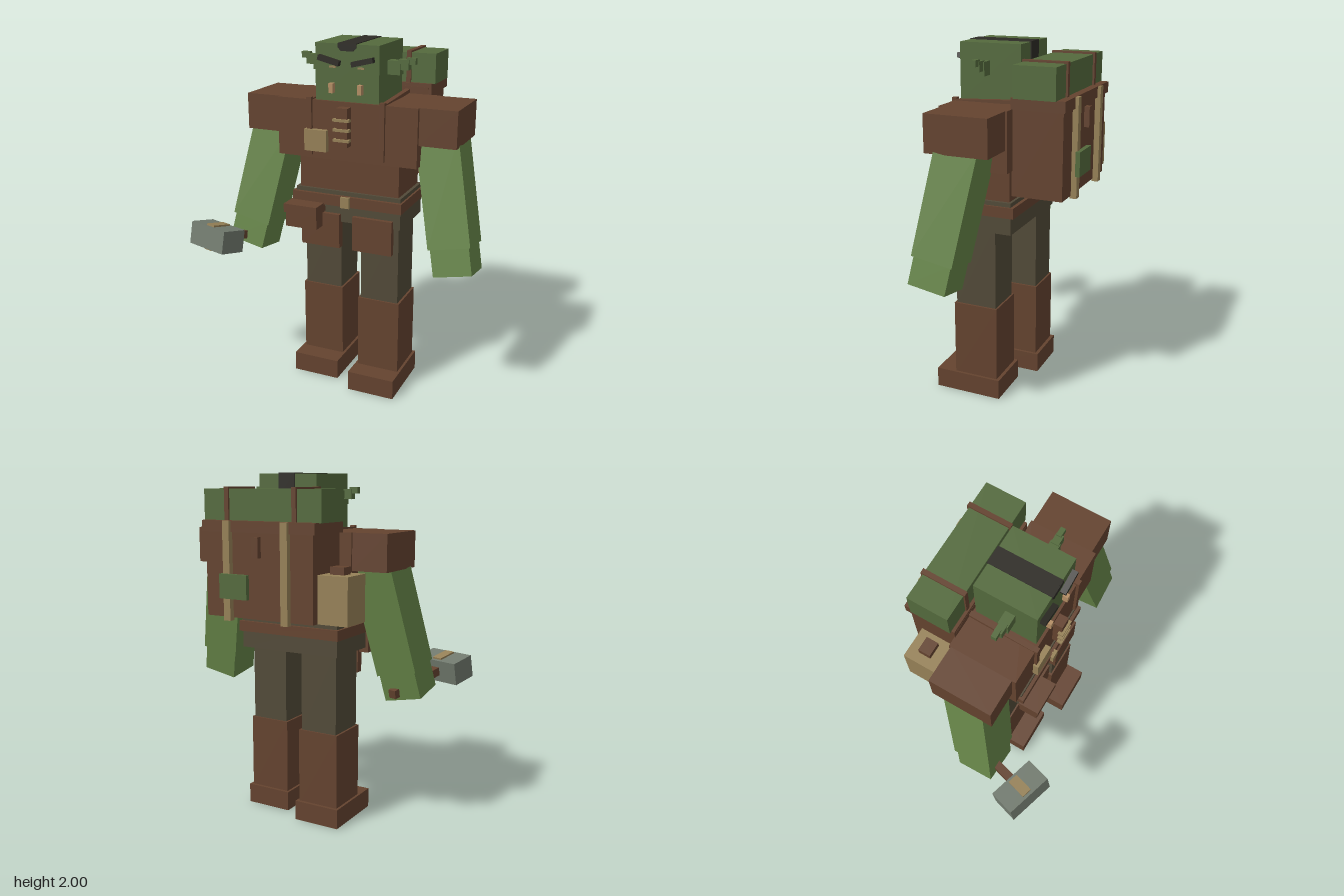
import * as THREE from 'three';

const mat = (name, color) => {
  const m = new THREE.MeshStandardMaterial({ color });
  m.name = name;
  return m;
};

export function createModel() {
  const brown = mat('leather brown', 0x64432f);
  const skin = mat('bright green skin', 0x668548);
  const moss = mat('moss green', 0x546a3d);
  const tan = mat('canvas tan', 0x968157);
  const steel = mat('steel grey', 0x717a6e);
  const olive = mat('trouser olive', 0x524a38);
  const dark = mat('hair black', 0x2d2b25);
  const ivory = mat('tusk ivory', 0xb48e64);

  const C = 0.07; // body centre line in x
  const root = new THREE.Group();
  root.name = 'packCarrier';

  // Box by centre and size
  const block = (parent, name, m, pos, size) => {
    const mesh = new THREE.Mesh(new THREE.BoxGeometry(...size), m);
    mesh.name = name;
    mesh.position.set(...pos);
    parent.add(mesh);
    return mesh;
  };
  // Box by its extents
  const span = (name, m, x0, x1, y0, y1, z0, z1, parent = root) =>
    block(parent, name, m, [(x0 + x1) / 2, (y0 + y1) / 2, (z0 + z1) / 2], [x1 - x0, y1 - y0, z1 - z0]);

  // Legs, left one a step ahead
  for (const s of [-1, 1]) {
    const side = s > 0 ? 'left' : 'right';
    const x = C + s * 0.193;
    const z = s > 0 ? 0.035 : -0.049;
    block(root, side + 'Trouser', olive, [x, 0.79, z], [0.225, 0.5, 0.24]);
    block(root, side + 'Boot', brown, [x, 0.325, z], [0.25, 0.45, 0.26]);
    block(root, side + 'Foot', brown, [x, 0.0575, z + 0.047], [0.28, 0.115, 0.393]);
    block(root, side + 'HipFlap', brown, [C + s * 0.157, 0.947, 0.168], [0.236, 0.2, 0.045]);
  }

  // Hips, belt and torso
  span('hips', olive, -0.246, 0.386, 1.0, 1.18, -0.18, 0.165);
  span('belt', brown, -0.262, 0.397, 1.097, 1.157, -0.2, 0.185);
  span('beltBuckle', tan, 0.042, 0.095, 1.095, 1.157, 0.18, 0.203);
  span('pouch', brown, -0.263, -0.072, 0.97, 1.07, 0.16, 0.273);
  span('pouchLid', brown, -0.27, -0.067, 1.055, 1.105, 0.16, 0.284);
  span('waist', brown, -0.225, 0.368, 1.17, 1.38, -0.165, 0.15);
  span('chest', brown, -0.341, 0.478, 1.366, 1.69, -0.2, 0.185);

  // Chest pocket and cartridge holder
  span('chestPatch', tan, -0.167, -0.035, 1.41, 1.53, 0.18, 0.216);
  span('cartridgeHolder', brown, 0.035, 0.1, 1.453, 1.666, 0.18, 0.237);
  for (const y of [1.602, 1.548, 1.492]) span('cartridge', tan, 0.02, 0.115, y - 0.007, y + 0.007, 0.22, 0.25);

  // Shoulders and arms
  const limbs = {};
  for (const s of [-1, 1]) {
    const side = s > 0 ? 'left' : 'right';
    block(root, side + 'Shoulder', brown, [C + s * 0.51, 1.589, -0.013], [0.21, 0.202, 0.353]);
    const arm = new THREE.Group();
    arm.name = side + 'Arm';
    arm.position.set(C + s * 0.547, 1.22, 0.037);
    arm.rotation.set(-0.16, 0, s * 0.2);
    root.add(arm);
    block(arm, side + 'Sleeve', skin, [0, 0, 0], [0.238, 0.6, 0.235]);
    block(arm, side + 'Hand', skin, [0, -0.37, 0], [0.217, 0.165, 0.215]);
    limbs[side] = arm;
  }

  // Hammer, gripped in the right hand
  const hammer = new THREE.Group();
  hammer.name = 'hammer';
  hammer.position.set(-0.648, 0.888, 0.4);
  hammer.rotation.set(-0.2, -0.3, 0, 'YXZ');
  root.add(hammer);
  block(hammer, 'hammerHandle', brown, [0, 0, -0.22], [0.048, 0.048, 0.48]);
  block(hammer, 'hammerHead', steel, [0, 0, 0], [0.28, 0.13, 0.155]);
  block(hammer, 'hammerBand', tan, [0, 0, 0], [0.06, 0.15, 0.12]);

  // Head with hair stripe
  const head = new THREE.Group();
  head.name = 'head';
  root.add(head);
  span('skull', moss, -0.114, 0.254, 1.69, 1.996, -0.18, 0.17, head);
  span('hairTop', dark, 0.02, 0.124, 1.994, 2.0, -0.184, 0.172, head);
  span('hairBack', dark, 0.02, 0.124, 1.87, 2.0, -0.185, -0.178, head);
  const tuft = new THREE.Shape([
    new THREE.Vector2(-0.052, 0.04), new THREE.Vector2(-0.052, 0.016), new THREE.Vector2(-0.034, 0),
    new THREE.Vector2(0.034, 0), new THREE.Vector2(0.052, 0.016), new THREE.Vector2(0.052, 0.04),
  ]);
  const fringe = new THREE.Mesh(new THREE.ExtrudeGeometry(tuft, { depth: 0.008, bevelEnabled: false }), dark);
  fringe.name = 'hairFringe';
  fringe.position.set(0.072, 1.959, 0.168);
  head.add(fringe);

  // Brows, eyes, tusks and stepped ears
  for (const s of [-1, 1]) {
    const brow = block(head, 'brow', dark, [C + s * 0.097, 1.908, 0.185], [0.125, 0.027, 0.034]);
    brow.rotation.z = s * 0.24;
    block(head, 'eye', tan, [C + s * 0.082, 1.873, 0.172], [0.036, 0.01, 0.008]);
    block(head, 'tusk', ivory, [C + s * 0.083, 1.762, 0.184], [0.024, 0.052, 0.034]);
    block(head, 'earBase', moss, [C + s * 0.215, 1.868, 0.023], [0.08, 0.075, 0.055]);
    block(head, 'earMiddle', moss, [C + s * 0.27, 1.885, 0.023], [0.06, 0.055, 0.042]);
    block(head, 'earTip', moss, [C + s * 0.31, 1.905, 0.02], [0.05, 0.035, 0.028]);
  }

  // Backpack and its flap
  span('packBody', brown, -0.27, 0.407, 1.23, 1.73, -0.475, -0.195);
  span('packFlap', brown, -0.287, 0.423, 1.69, 1.75, -0.488, -0.196);
  span('packClasp', brown, 0.048, 0.09, 1.56, 1.67, -0.505, -0.47);
  span('packPatch', moss, 0.11, 0.287, 1.337, 1.47, -0.525, -0.5);
  span('bedroll', moss, -0.3, 0.438, 1.748, 1.916, -0.443, -0.213);

  // Shoulder straps, bedroll straps and canvas pack straps
  for (const s of [-1, 1]) {
    const x = C + s * 0.213;
    block(root, 'strapFront', brown, [x, 1.545, 0.188], [0.029, 0.32, 0.026]);
    const over = block(root, 'strapOver', brown, [x, 1.695, -0.005], [0.029, 0.02, 0.39]);
    over.rotation.x = 0.05;
    block(root, 'bedrollStrap', brown, [x, 1.836, -0.329], [0.027, 0.18, 0.25]);
    block(root, 'packStrap', tan, [C + s * 0.183, 1.482, -0.488], [0.043, 0.535, 0.036]);
  }

  // Canteen on the pack's right side
  span('canteen', tan, -0.447, -0.265, 1.23, 1.485, -0.43, -0.24);
  span('canteenCap', brown, -0.393, -0.31, 1.48, 1.525, -0.37, -0.3);

  return root;
}
